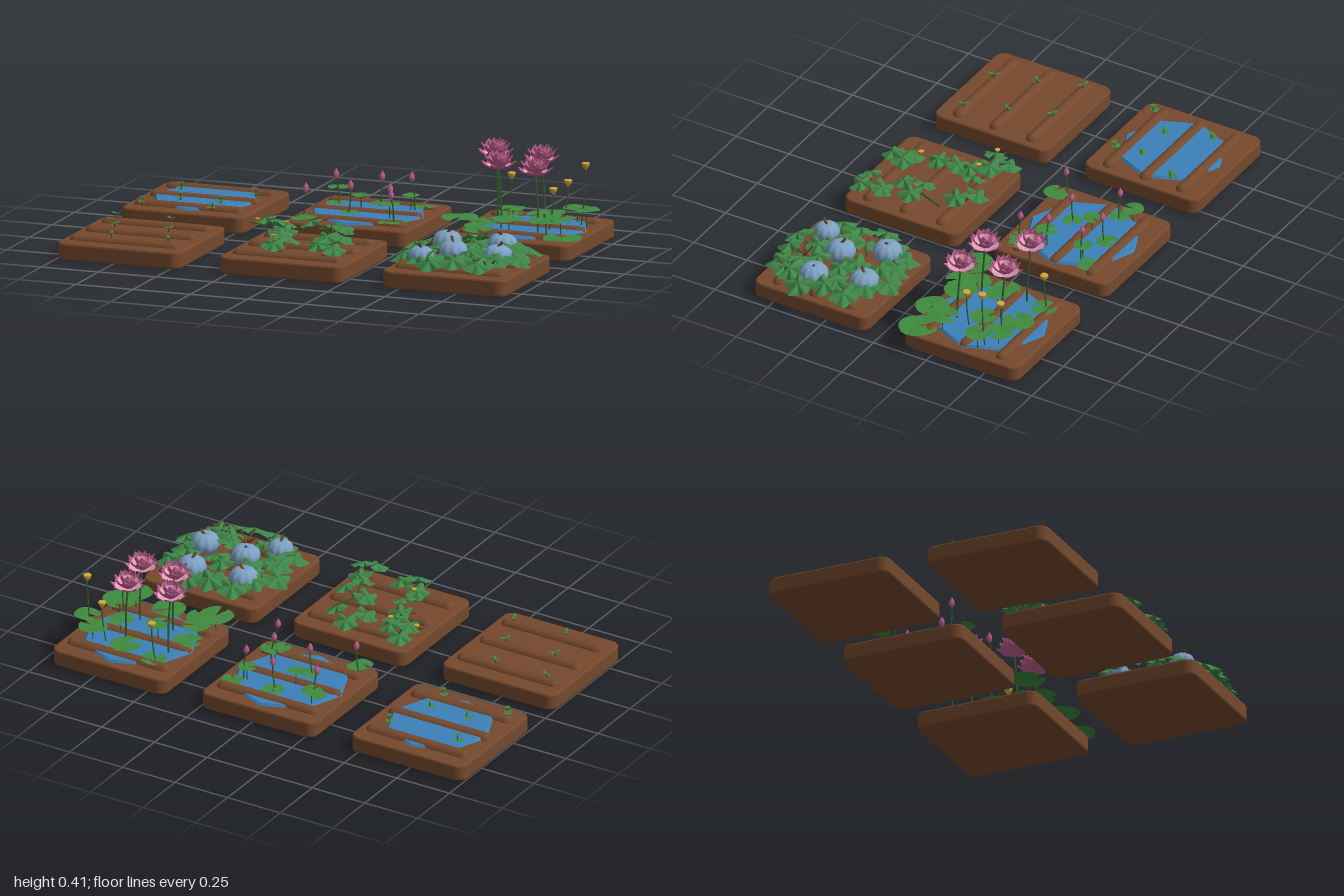
import * as THREE from 'three';

const mat = (name, color, side = THREE.FrontSide) => new THREE.MeshStandardMaterial({ name, color, side });
const M = {
  soil: mat('soil brown', 0x75492d),
  water: mat('water blue', 0x3c80b8),
  leaf: mat('leaf green', 0x3f8648, THREE.DoubleSide),
  pad: mat('pad green', 0x3f8a3e, THREE.DoubleSide),
  stem: mat('stem green', 0x35602f),
  fruit: mat('pumpkin blue', 0x7da0c2),
  stalk: mat('stalk brown', 0x70482c),
  petal: mat('petal magenta', 0xc2608f),
  blush: mat('petal pink', 0xe09cb8),
  gold: mat('gold', 0xd2a83c),
};

function add(parent, name, geo, material, x = 0, y = 0, z = 0) {
  const m = new THREE.Mesh(geo, material);
  m.name = name;
  m.position.set(x, y, z);
  parent.add(m);
  return m;
}

// Flat-shaded fan around a centre point; rim radius and height follow a rule
function fan(n, from, to, radius, height, centreY = 0) {
  const p = [];
  const at = (i) => {
    const a = from + (to - from) * i / n, r = radius(a);
    return [Math.sin(a) * r, height(a, r), Math.cos(a) * r];
  };
  for (let i = 0; i < n; i++) p.push(0, centreY, 0, ...at(i), ...at(i + 1));
  const g = new THREE.BufferGeometry();
  g.setAttribute('position', new THREE.Float32BufferAttribute(p, 3));
  g.computeVertexNormals();
  return g;
}
// Notched round pad and five-lobed drooping vine leaf, both of unit radius
const padGeo = fan(16, 0.22, 6.06, () => 1, (a) => 0.04 * Math.sin(3 * a), 0);
const leafGeo = fan(30, 0.15, 6.13, (a) => 0.84 + 0.16 * Math.cos(5 * (a - Math.PI)) - 0.25 * Math.exp(-a * a * 4),
  (a) => -0.28 + 0.1 * Math.cos(5 * (a - Math.PI)));

// Pointed cupped petal; colour groups give it a magenta tip inside
function petalGeometry(inside) {
  const rows = [[0, 0.1, 0], [0.35, 0.24, -0.07], [0.7, 0.25, -0.04], [1, 0.005, 0.08]], p = [];
  const pt = (r, c) => [c * r[1], r[2] + Math.abs(c) * 0.08, r[0]];
  const tri = (a, b, c) => (inside ? p.push(...a, ...b, ...c) : p.push(...a, ...c, ...b));
  for (let i = 0; i < 3; i++) for (const c of [-1, 0]) {
    const a = pt(rows[i], c), b = pt(rows[i], c + 1), d = pt(rows[i + 1], c), e = pt(rows[i + 1], c + 1);
    tri(a, d, b);
    tri(b, d, e);
  }
  const g = new THREE.BufferGeometry();
  g.setAttribute('position', new THREE.Float32BufferAttribute(p, 3));
  g.computeVertexNormals();
  g.addGroup(0, 24, 0);
  g.addGroup(24, 12, 1);
  return g;
}
const petalIn = petalGeometry(true), petalOut = petalGeometry(false);

// Ribbed pumpkin body of unit radius
const pumpkinGeo = new THREE.SphereGeometry(1, 40, 12);
{
  const p = pumpkinGeo.attributes.position;
  for (let i = 0; i < p.count; i++) {
    const x = p.getX(i), y = p.getY(i), z = p.getZ(i), flat = Math.hypot(x, z);
    const k = 1 - 0.1 * (1 - Math.abs(Math.cos(5 * Math.atan2(z, x))));
    p.setXYZ(i, x * k, y * 0.76 - 0.15 * Math.sign(y) * Math.exp(-flat * flat * 12), z * k);
  }
  pumpkinGeo.computeVertexNormals();
}

function stem(parent, a, b, r = 0.003, sag = 0.01, material = M.stem) {
  const A = new THREE.Vector3(...a), B = new THREE.Vector3(...b);
  const mid = A.clone().lerp(B, 0.5).add(new THREE.Vector3(sag, sag, 0));
  add(parent, 'stem', new THREE.TubeGeometry(new THREE.QuadraticBezierCurve3(A, mid, B), 6, r, 5), material);
}

// Leaf tipped down in the direction it grows
function leaf(parent, x, y, z, r, dx, dz, tilt) {
  const m = add(parent, 'vineLeaf', leafGeo, M.leaf, x, y, z);
  m.scale.setScalar(r);
  const d = Math.hypot(dx, dz) || 1;
  m.rotateOnAxis(new THREE.Vector3(dz / d, 0, -dx / d), tilt);
  m.rotateY(Math.atan2(dx, dz) + Math.PI);
}

function pad(parent, x, y, z, r, turn) {
  const m = add(parent, 'lilyPad', padGeo, M.pad, x, y, z);
  m.scale.setScalar(r);
  m.rotation.y = turn;
  stem(parent, [x, 0.075, z], [x, y, z], 0.0025, 0.004);
}

// Rounded soil block with three mounds, and a pond if it has a radius
function bed(parent, name, x, z, pond) {
  const g = new THREE.Group();
  g.name = name;
  parent.add(g);
  const h = 0.262, c = 0.035, s = new THREE.Shape();
  s.absarc(h - c, h - c, c, 0, Math.PI / 2);
  s.absarc(c - h, h - c, c, Math.PI / 2, Math.PI);
  s.absarc(c - h, c - h, c, Math.PI, Math.PI * 1.5);
  s.absarc(h - c, c - h, c, Math.PI * 1.5, Math.PI * 2);
  const block = new THREE.ExtrudeGeometry(s, { depth: 0.054, bevelSize: 0.008, bevelThickness: 0.008, bevelSegments: 2, curveSegments: 5 });
  add(g, 'soilBlock', block.rotateX(-Math.PI / 2), M.soil, x, 0.008, z);
  for (const dz of [-0.173, 0, 0.173]) {
    const mound = new THREE.CapsuleGeometry(0.029, 0.425, 5, 12).rotateZ(Math.PI / 2);
    add(g, 'mound', mound, M.soil, x, 0.063, z + dz);
  }
  if (pond) add(g, 'water', new THREE.CylinderGeometry(pond - 0.01, pond, 0.012, 8), M.water, x, 0.074, z);
  return g;
}

function bud(parent, x, y, z, lean) {
  stem(parent, [x - lean, 0.075, z], [x, y - 0.015, z]);
  const pts = [[0.003, -0.02], [0.012, -0.008], [0.011, 0.006], [0.001, 0.024]].map((p) => new THREE.Vector2(...p));
  add(parent, 'bud', new THREE.LatheGeometry(pts, 7), M.petal, x, y, z);
}

function pod(parent, x, y, z) {
  stem(parent, [x - 0.02, 0.075, z], [x, y - 0.012, z]);
  const pts = [[0.003, -0.014], [0.012, -0.002], [0.018, 0.012], [0.015, 0.016], [0, 0.016]].map((p) => new THREE.Vector2(...p));
  add(parent, 'seedPod', new THREE.LatheGeometry(pts, 9), M.gold, x, y, z);
}

function lotus(parent, x, y, z) {
  stem(parent, [x + 0.015, 0.075, z + 0.01], [x, y, z], 0.004);
  const g = new THREE.Group();
  g.name = 'lotus';
  g.position.set(x, y, z);
  parent.add(g);
  for (const [n, tilt, size, turn] of [[9, 0.28, 0.078, 0], [8, 0.68, 0.082, 0.3], [7, 1.05, 0.08, 0.1]])
    for (let i = 0; i < n; i++) {
      const p = new THREE.Group();
      p.name = 'petal';
      p.rotation.set(-tilt, turn + i * Math.PI * 2 / n, 0, 'YXZ');
      p.scale.setScalar(size);
      add(p, 'petalInside', petalIn, [M.blush, M.petal]);
      add(p, 'petalOutside', petalOut, [M.petal, M.petal]);
      g.add(p);
    }
  add(g, 'flowerCentre', new THREE.CylinderGeometry(0.017, 0.01, 0.035, 9), M.gold, 0, 0.02, 0);
}

export function createModel() {
  const root = new THREE.Group();
  root.name = 'gardenBeds';
  const [X1, X2, X3, ZB, ZF] = [-0.73, -0.02, 0.69, -0.38, 0.33];

  // Vine seedlings
  const a = bed(root, 'vineSeedlingBed', X1, ZF);
  [[-0.91, 0.155], [-0.67, 0.155], [-0.845, 0.33], [-0.61, 0.33], [-0.79, 0.505], [-0.545, 0.5]].forEach(([x, z], i) => {
    stem(a, [x, 0.085, z], [x, 0.108, z], 0.003, 0);
    const turn = [-0.4, -0.6, 1.1, 1.1, -1.2, -1.2][i];
    for (const s of [-1, 1]) {
      const l = add(a, 'seedLeaf', new THREE.SphereGeometry(1, 8, 5), M.leaf, x + s * 0.012 * Math.cos(turn), 0.11, z - s * 0.012 * Math.sin(turn));
      l.scale.set(0.014, 0.003, 0.008);
      l.rotation.set(0, turn, s * 0.2, 'YXZ');
    }
  });

  // Water-lily seedlings
  const b = bed(root, 'lilySeedlingBed', X1, ZB, 0.225);
  [[-0.88, -0.48], [-0.555, -0.48], [-0.81, -0.295], [-0.635, -0.295], [-0.93, -0.175], [-0.625, -0.175]].forEach(([x, z], i) => {
    pad(b, x, 0.088, z, 0.018, i * 1.3);
    pad(b, x + 0.006, 0.11, z + 0.004, 0.011, i * 2);
  });

  // Young vines: centre, then leaf offsets
  const c = bed(root, 'youngVineBed', X2, ZF);
  const vines = [
    [-0.2, 0.17, [[-0.045, -0.07], [0.03, -0.02], [-0.05, 0], [0.06, 0.06]]],
    [0.03, 0.15, [[-0.02, -0.05], [0.06, 0.01], [-0.085, 0.01]]],
    [-0.145, 0.335, [[0.01, -0.055], [0.035, 0.03]]],
    [0.1, 0.335, [[-0.05, -0.01], [0.055, 0], [0.005, 0.06]]],
    [-0.075, 0.5, [[-0.03, -0.03], [0.01, 0.05], [0.05, -0.025]]],
    [0.155, 0.5, [[0.01, -0.04], [0.04, 0.045], [-0.03, 0.04]]],
  ];
  vines.forEach(([x, z, offsets]) => {
    offsets.forEach(([dx, dz], i) => {
      const y = 0.125 + 0.012 * (i % 3);
      stem(c, [x, 0.085, z], [x + dx, y, z + dz]);
      leaf(c, x + dx, y, z + dz, 0.055, dx, dz, 0.35);
    });
    for (let i = 0; i < 5; i++)
      stem(c, [x, 0.088, z], [x + 0.03 * Math.sin(i * 1.26), 0.095, z + 0.03 * Math.cos(i * 1.26)], 0.004, 0, M.stalk);
  });
  stem(c, [0.14, 0.1, 0.2], [0.09, 0.1, 0.33], 0.004);
  stem(c, [-0.24, 0.1, 0.17], [-0.31, 0.13, 0.195], 0.003);
  for (const [x, z] of [[-0.11, 0.44], [-0.15, 0.19], [-0.28, 0.18]])
    add(c, 'vineFlower', new THREE.ConeGeometry(0.012, 0.02, 6).rotateX(Math.PI), M.gold, x, 0.135, z);

  // Budding lilies
  const d = bed(root, 'buddingLilyBed', X2, ZB, 0.245);
  [[-0.2, -0.51], [-0.19, -0.45], [-0.01, -0.5], [0.13, -0.47], [0.175, -0.515], [-0.07, -0.3], [0.11, -0.285],
    [-0.2, -0.16], [0.18, -0.2], [-0.06, -0.4], [-0.21, -0.13], [0.145, -0.175]].forEach(([x, z], i) =>
    pad(d, x, i % 3 ? 0.088 : 0.14, z, 0.045 - 0.006 * (i % 2), i * 1.7));
  [[-0.19, 0.205, -0.455], [0, 0.205, -0.485], [0.135, 0.215, -0.47], [-0.065, 0.2, -0.3], [0.11, 0.2, -0.295],
    [-0.215, 0.2, -0.185], [0.155, 0.2, -0.19]].forEach(([x, y, z], i) => bud(d, x, y, z, i % 2 ? 0.012 : -0.012));

  // Ripe pumpkins under a ring of leaves
  const e = bed(root, 'pumpkinBed', X3, ZF);
  [[0.555, 0.2], [0.785, 0.172], [0.647, 0.365], [0.845, 0.375], [0.555, 0.487]].forEach(([x, z], i) => {
    const m = add(e, 'pumpkin', pumpkinGeo, M.fruit, x, 0.122, z);
    m.scale.setScalar(i === 4 ? 0.054 : 0.062);
    m.rotation.y = i;
    stem(e, [x, 0.155, z], [x + 0.02 * Math.cos(i * 2), 0.18, z + 0.02 * Math.sin(i * 2)], 0.006, 0, M.stalk);
  });
  for (let i = 0; i < 16; i++) {
    const t = i * Math.PI / 8 + 0.15, r = 0.235 + 0.025 * (i % 2);
    const dx = Math.sin(t) * r * (i % 4 ? 1 : 0.9), dz = Math.cos(t) * r;
    leaf(e, X3 + dx, 0.137 - 0.012 * (i % 2), ZF + dz, 0.066, dx, dz, 0.4);
    stem(e, [X3 + dx * 0.6, 0.085, ZF + dz * 0.6], [X3 + dx, 0.125, ZF + dz]);
  }
  [[0.67, 0.17], [0.7, 0.26], [0.57, 0.29], [0.75, 0.31], [0.53, 0.38], [0.74, 0.41], [0.65, 0.47], [0.78, 0.47], [0.86, 0.26], [0.86, 0.5]].forEach(([x, z], i) => {
    leaf(e, x, 0.125 + 0.008 * (i % 3), z, 0.062, Math.sin(i * 2.4), Math.cos(i * 2.4), 0.25);
    stem(e, [x, 0.075, z], [x, 0.12, z]);
  });
  for (const [x, z] of [[0.72, 0.5], [0.85, 0.5], [0.58, 0.44]]) for (let i = 0; i < 5; i++)
    stem(e, [x, 0.088, z], [x + 0.04 * Math.sin(i * 1.26), 0.135, z + 0.04 * Math.cos(i * 1.26)], 0.004, 0, M.stalk);

  // Blooming lotus pond
  const f = bed(root, 'lotusBed', X3, ZB, 0.245);
  [[0.465, -0.165, 0.075], [0.835, -0.18, 0.07], [0.915, -0.16, 0.08], [0.69, -0.5, 0.065], [0.845, -0.5, 0.06], [0.87, -0.25, 0.065],
    [0.5, -0.33, 0.06], [0.55, -0.14, 0.06], [0.66, -0.21, 0.07], [0.91, -0.44, 0.055], [0.54, -0.53, 0.055], [0.53, -0.21, 0.06],
    [0.78, -0.39, 0.055], [0.62, -0.36, 0.05]].forEach(([x, z, r], i) =>
    pad(f, x, [0.14, 0.15, 0.09, 0.1][i % 4], z, r, i * 1.9));
  lotus(f, 0.508, 0.335, -0.45);
  lotus(f, 0.71, 0.325, -0.45);
  lotus(f, 0.588, 0.325, -0.283);
  lotus(f, 0.754, 0.315, -0.267);
  for (const p of [[0.545, 0.24, -0.536], [0.81, 0.24, -0.488], [0.9, 0.325, -0.455], [0.81, 0.24, -0.327]]) pod(f, ...p);
  return root;
}
